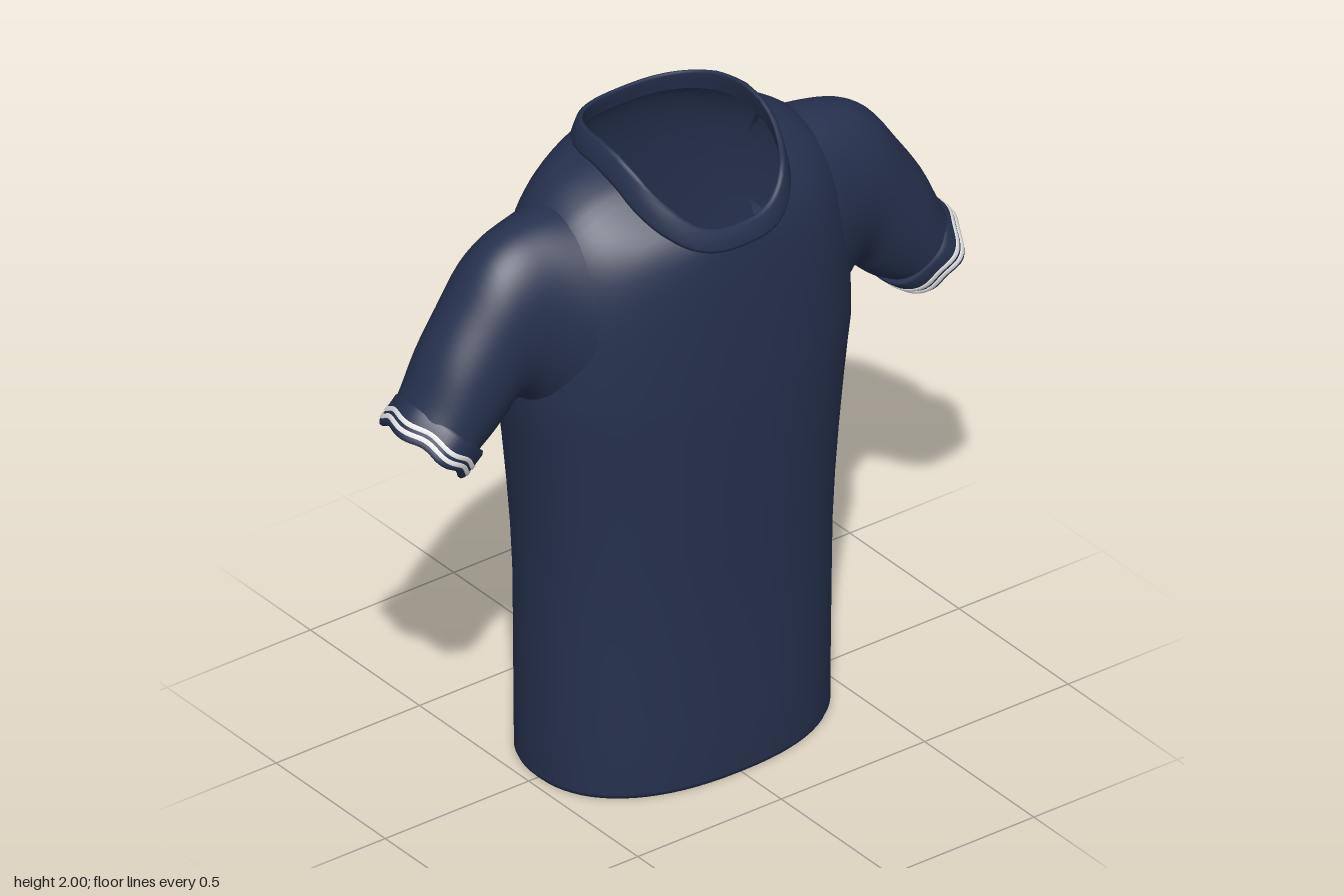
import * as THREE from 'three';

const navy = new THREE.MeshStandardMaterial({ color: 0x26314e, side: THREE.DoubleSide });
navy.name = 'navy cloth';
const white = new THREE.MeshStandardMaterial({ color: 0xececec, side: THREE.DoubleSide });
white.name = 'white trim';

const N = 72; // points around every ring
const V = (x, y, z = 0) => new THREE.Vector3(x, y, z);
const angle = (i) => (i / N) * Math.PI * 2;
const ring = (fn) => Array.from({ length: N }, (_, i) => fn(angle(i)));

// Smooth skin through closed rings; skip() leaves openings
function loft(name, rings, material, flip = false, skip = null) {
  const idx = [];
  for (let r = 0; r < rings.length - 1; r++) {
    for (let i = 0; i < N; i++) {
      const j = (i + 1) % N;
      if (skip && skip(rings[r][i]) && skip(rings[r + 1][j])) continue;
      const a = r * N + i, b = r * N + j, c = a + N, d = b + N;
      if (flip) idx.push(a, b, c, b, d, c);
      else idx.push(a, c, b, b, c, d);
    }
  }
  const geo = new THREE.BufferGeometry().setFromPoints(rings.flat());
  geo.setIndex(idx);
  geo.computeVertexNormals();
  const mesh = new THREE.Mesh(geo, material);
  mesh.name = name;
  return mesh;
}

// Rounded-box outline in plan
function plan(a, w, front, back, n) {
  const c = Math.cos(a), s = Math.sin(a), e = 2 / n;
  const d = s > 0 ? front : back;
  return V(w * Math.sign(c) * Math.abs(c) ** e, 0, d * Math.sign(s) * Math.abs(s) ** e);
}

// Piecewise-smooth lookup in a short list of [key, value]
function lookup(list, k) {
  if (k <= list[0][0]) return list[0][1];
  for (let i = 1; i < list.length; i++) {
    const [k0, v0] = list[i - 1], [k1, v1] = list[i];
    if (k <= k1) return v0 + ((v1 - v0) * (k - k0)) / (k1 - k0);
  }
  return list[list.length - 1][1];
}

// Neckline: height follows z, high at the nape and low at the throat
const LOWER = [[-0.24, 1.905], [-0.1, 1.925], [0, 1.93], [0.1, 1.9], [0.2, 1.83], [0.26, 1.785], [0.335, 1.715]];
const UPPER = [[-0.24, 1.962], [-0.1, 1.992], [0, 2.0], [0.08, 1.988], [0.15, 1.955], [0.25, 1.87], [0.315, 1.78]];
function neck(a, w, depth, heights, grow = 0, lift = 0) {
  const p = plan(a, w, depth, depth, 2.6);
  p.z += 0.04;
  p.y = lookup(heights, p.z) + lift;
  const g = plan(a, grow, grow, grow, 2);
  return p.add(g);
}
const neckLow = (a, grow, lift) => neck(a, 0.268, 0.285, LOWER, grow, lift);
const neckTop = (a, grow, lift) => neck(a, 0.25, 0.27, UPPER, grow, lift);

function torso() {
  // [y, half width, front depth, back depth]
  const sections = [
    [0.02, 0.458, 0.308, 0.308], [0, 0.466, 0.316, 0.316], [0.015, 0.473, 0.322, 0.322],
    [0.2, 0.476, 0.32, 0.32], [0.4, 0.48, 0.318, 0.315], [0.6, 0.483, 0.32, 0.315], [0.75, 0.49, 0.326, 0.32],
    [0.9, 0.502, 0.332, 0.327], [1.05, 0.518, 0.337, 0.331], [1.17, 0.533, 0.341, 0.334], [1.25, 0.545, 0.343, 0.336],
  ];
  const at = ([y, w, f, b]) => ring((a) => plan(a, w, f, b, 2.3).setY(y));
  const rings = sections.map(at);
  const chest = rings[rings.length - 1];
  // Chest curves over the shoulders into the neckline
  const meridians = chest.map((c, i) => {
    const a = angle(i), side = Math.cos(a) ** 2, n = neckLow(a, 0, 0);
    const p1 = c.clone().setY(1.45 + 0.3 * side);
    const p2 = n.clone().lerp(c, 0.75).setY(n.y - 0.08 + 0.03 * side);
    return new THREE.CubicBezierCurve3(c, p1, p2, n);
  });
  const steps = 22;
  for (let k = 1; k <= steps; k++) rings.push(meridians.map((m) => m.getPoint(k / steps)));
  // Armholes, hidden inside the sleeve heads
  const armhole = (p) => Math.abs(p.x) > 0.46 && p.y > 1.36 && p.y < 1.77 && Math.abs(p.z) < 0.13;
  return loft('torso', rings, navy, false, armhole);
}

function collar() {
  const mix = (t, grow) => ring((a) => neckLow(a, grow, 0).lerp(neckTop(a, grow, 0), t));
  return loft('collar', [
    mix(0, -0.004), mix(0, 0.008), mix(0.15, 0.012), mix(0.5, 0.012), mix(0.9, 0.01),
    mix(1, 0.004), mix(1, -0.004), mix(0.9, -0.008), mix(0.4, -0.008), mix(0, -0.008),
  ], navy);
}

// Ring around a sleeve, given its upper and lower silhouette points
function sleeveRing(s, top, bottom, depth, t = 0) {
  const c = top.clone().add(bottom).multiplyScalar(0.5);
  const u = top.clone().sub(bottom).multiplyScalar(0.5);
  return ring((a) => V(s * (c.x + u.x * Math.cos(a)), c.y + u.y * Math.cos(a), depth * Math.sin(a)));
}

function sleeve(s) {
  const group = new THREE.Group();
  group.name = s > 0 ? 'leftSleeve' : 'rightSleeve';
  // [top x, top y, bottom x, bottom y, half depth]
  const sections = [
    [0.4, 1.845, 0.46, 1.2, 0.225], [0.5, 1.837, 0.515, 1.245, 0.188], [0.6, 1.81, 0.56, 1.29, 0.167],
    [0.675, 1.76, 0.602, 1.293, 0.157], [0.76, 1.645, 0.645, 1.25, 0.151],
    [0.84, 1.525, 0.69, 1.212, 0.146], [0.895, 1.41, 0.722, 1.195, 0.141], [0.93, 1.345, 0.762, 1.166, 0.136],
  ];
  const tops = new THREE.CatmullRomCurve3(sections.map((q) => V(q[0], q[1], q[4])));
  const bottoms = new THREE.CatmullRomCurve3(sections.map((q) => V(q[2], q[3])));
  const rings = [];
  for (let k = 0; k <= 28; k++) {
    const t = tops.getPoint(k / 28), b = bottoms.getPoint(k / 28), depth = t.z;
    rings.push(sleeveRing(s, t.setZ(0), b, depth));
  }
  group.add(loft('sleeve', rings, navy, s > 0));

  // Turned-up, slightly rumpled cuff: t runs along it, r lifts off its surface
  const cuffRing = (t, r) => ring((a) => {
    const tt = t + 0.06 * Math.sin(6 * a + 0.6) * Math.min(1, t * 2);
    const top = V(0.9, 1.385).lerp(V(0.962, 1.308), tt);
    const bottom = V(0.713, 1.192).lerp(V(0.788, 1.138), tt);
    const c = top.clone().add(bottom).multiplyScalar(0.5);
    const u = top.sub(bottom).multiplyScalar(0.5);
    const rr = r + 0.004 * Math.cos(5 * a);
    u.setLength(u.length() + rr);
    return V(s * (c.x + u.x * Math.cos(a)), c.y + u.y * Math.cos(a), (0.145 + rr) * Math.sin(a));
  });
  const band = (name, profile, material) =>
    group.add(loft(name, profile.map(([t, r]) => cuffRing(t, r)), material, s > 0));
  band('cuff', [[0.05, -0.014], [0, 0], [0.1, 0.006], [0.4, 0.007], [0.9, 0.007],
    [1, 0.001], [1, -0.008], [0.85, -0.013], [0.4, -0.016]], navy);
  for (const t of [0.46, 0.7]) {
    band('cuffStripe', [[t, 0.0065], [t, 0.0105], [t + 0.14, 0.0105], [t + 0.14, 0.0065]], white);
  }
  return group;
}

export function createModel() {
  const shirt = new THREE.Group();
  shirt.name = 'shirt';
  shirt.add(torso(), collar(), sleeve(1), sleeve(-1));
  return shirt;
}
